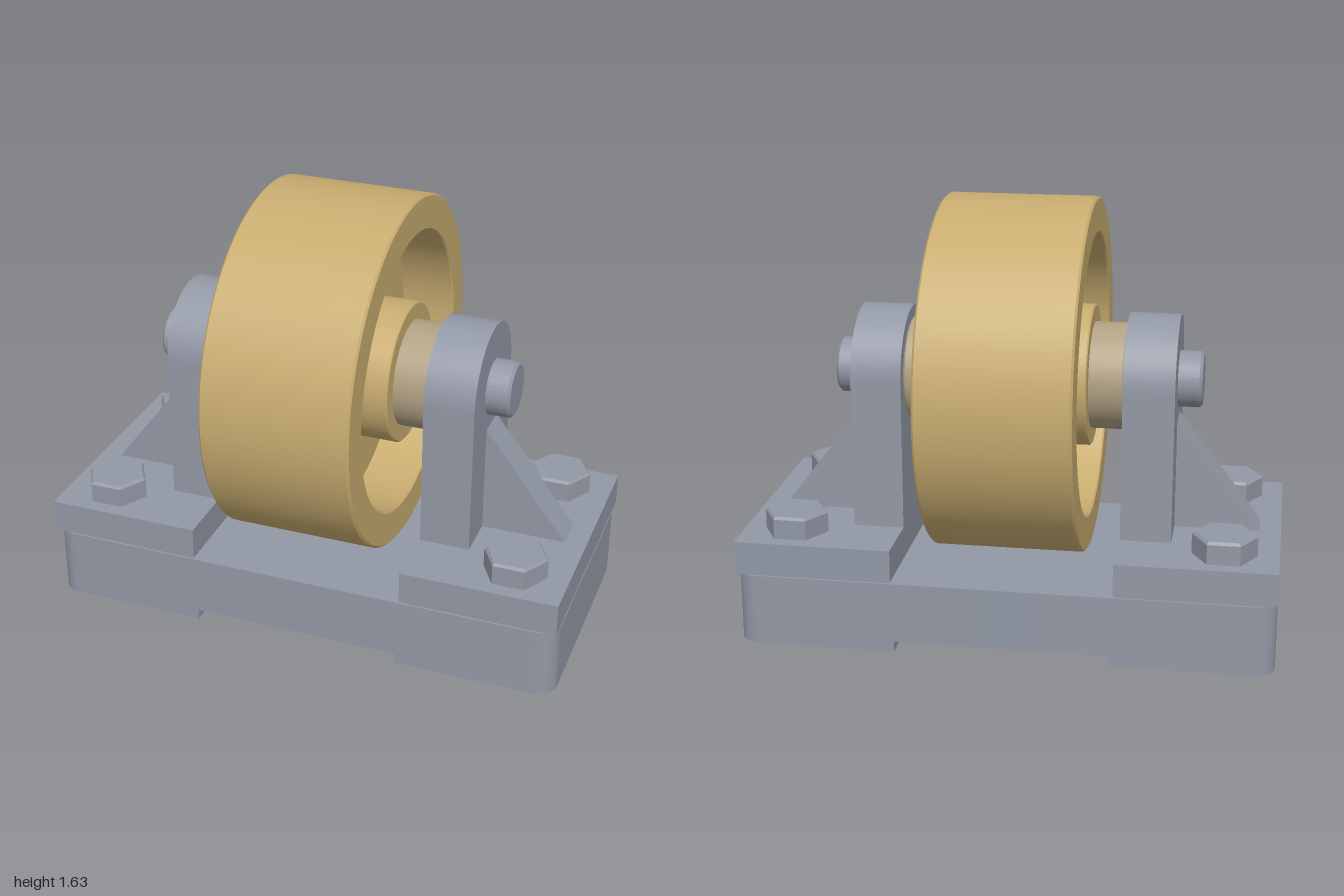
import * as THREE from 'three';
import { toCreasedNormals } from 'three/addons/utils/BufferGeometryUtils.js';

const AXLE_Y = 0.965;

export function createModel() {
  const material = (name, color) => {
    const m = new THREE.MeshStandardMaterial({ color });
    m.name = name;
    return m;
  };
  const steel = material('steel grey', 0x9298a5);
  const gold = material('wheel gold', 0xc8ac70);
  const bronze = material('bushing tan', 0xb0a183);

  const model = new THREE.Group();
  model.name = 'rollerAssembly';

  const add = (parent, name, geometry, mat, x = 0, y = 0, z = 0) => {
    const mesh = new THREE.Mesh(geometry, mat);
    mesh.name = name;
    mesh.position.set(x, y, z);
    parent.add(mesh);
    return mesh;
  };

  // Turned part about the x axis; profile points are [radius, x]
  const turned = (profile, segments = 96) => {
    const g = new THREE.LatheGeometry(profile.map(([r, x]) => new THREE.Vector2(r, x)), segments);
    g.rotateZ(-Math.PI / 2);
    return toCreasedNormals(g, 0.5);
  };

  // Plan outline extruded upwards
  const slab = (shape, height) => {
    const g = new THREE.ExtrudeGeometry(shape, { depth: height, bevelEnabled: false, curveSegments: 10 });
    g.rotateX(-Math.PI / 2);
    return toCreasedNormals(g, 0.5);
  };

  // Plan outline from x0 to x = 1, outer corners rounded
  const R = 0.08, D = 0.48;
  const roundedEnd = (shape, x0) => {
    shape.moveTo(x0, -D);
    shape.lineTo(1 - R, -D);
    shape.absarc(1 - R, -D + R, R, -Math.PI / 2, 0, false);
    shape.lineTo(1, D - R);
    shape.absarc(1 - R, D - R, R, 0, Math.PI / 2, false);
    shape.lineTo(x0, D);
    return shape;
  };

  // Base block with a shallow channel underneath
  const baseShape = roundedEnd(new THREE.Shape(), 0);
  baseShape.lineTo(-1 + R, D);
  baseShape.absarc(-1 + R, D - R, R, Math.PI / 2, Math.PI, false);
  baseShape.lineTo(-1, -D + R);
  baseShape.absarc(-1 + R, -D + R, R, Math.PI, Math.PI * 1.5, false);
  baseShape.closePath();
  add(model, 'baseBlock', slab(baseShape, 0.23), steel, 0, 0.04, 0);

  // Wheel: thick rim, thin web and hub
  const half = [
    [0.2, 0.28], [0.26, 0.28], [0.265, 0.275], [0.265, 0.075],
    [0.53, 0.075], [0.53, 0.274], [0.536, 0.28], [0.657, 0.28], [0.665, 0.272],
  ];
  const wheelProfile = [
    ...half.map(([r, x]) => [r, -x]),
    ...half.slice().reverse(),
    [0.2, -0.28],
  ];
  add(model, 'wheel', turned(wheelProfile, 128), gold, 0, AXLE_Y, 0);

  // Bushing through the hub
  add(model, 'bushing', turned([
    [0, -0.41], [0.193, -0.41], [0.2, -0.403], [0.2, 0.403], [0.193, 0.41], [0, 0.41],
  ]), bronze, 0, AXLE_Y, 0);

  // Axle with chamfered ends
  add(model, 'axle', turned([
    [0, -0.69], [0.094, -0.69], [0.105, -0.679], [0.105, 0.679], [0.094, 0.69], [0, 0.69],
  ], 64), steel, 0, AXLE_Y, 0);

  // Upright cheek with a round top, extruded along x
  const cheekShape = new THREE.Shape();
  cheekShape.moveTo(-0.24, 0.4);
  cheekShape.lineTo(0.24, 0.4);
  cheekShape.lineTo(0.24, AXLE_Y);
  cheekShape.absarc(0, AXLE_Y, 0.24, 0, Math.PI, false);
  cheekShape.closePath();
  const cheekGeometry = toCreasedNormals(
    new THREE.ExtrudeGeometry(cheekShape, { depth: 0.19, bevelEnabled: false, curveSegments: 40 })
      .rotateY(Math.PI / 2), 0.5);

  // Triangular stiffening rib
  const ribShape = new THREE.Shape();
  ribShape.moveTo(0.6, 0.4);
  ribShape.lineTo(0.92, 0.4);
  ribShape.lineTo(0.6, 0.815);
  ribShape.closePath();
  const ribGeometry = new THREE.ExtrudeGeometry(ribShape, { depth: 0.134, bevelEnabled: false })
    .translate(0, 0, -0.067);

  // Hexagonal bolt head with a chamfered top
  const hexHead = (r0, r1, h) =>
    toCreasedNormals(new THREE.CylinderGeometry(r1, r0, h, 6).rotateY(Math.PI / 2), 0.1);

  const footShape = roundedEnd(new THREE.Shape(), 0.4);
  footShape.closePath();
  const footGeometry = slab(footShape, 0.04);

  // Both bearing supports, one turned half way round
  for (const side of ['left', 'right']) {
    const support = new THREE.Group();
    support.name = side + 'Support';
    if (side === 'right') support.rotation.y = Math.PI;
    model.add(support);

    add(support, 'baseFoot', footGeometry, steel);
    add(support, 'plateSeam', new THREE.BoxGeometry(0.574, 0.012, 0.944), steel, 0.705, 0.274, 0);
    add(support, 'mountingPlate', new THREE.BoxGeometry(0.59, 0.122, 0.96), steel, 0.705, 0.339, 0);
    add(support, 'cheek', cheekGeometry, steel, 0.41, 0, 0);
    add(support, 'rib', ribGeometry, steel);
    for (const z of [-0.32, 0.32]) {
      add(support, 'boltHead', hexHead(0.12, 0.12, 0.075), steel, 0.8, 0.4375, z);
      add(support, 'boltHeadChamfer', hexHead(0.12, 0.11, 0.01), steel, 0.8, 0.48, z);
    }
  }
  return model;
}
